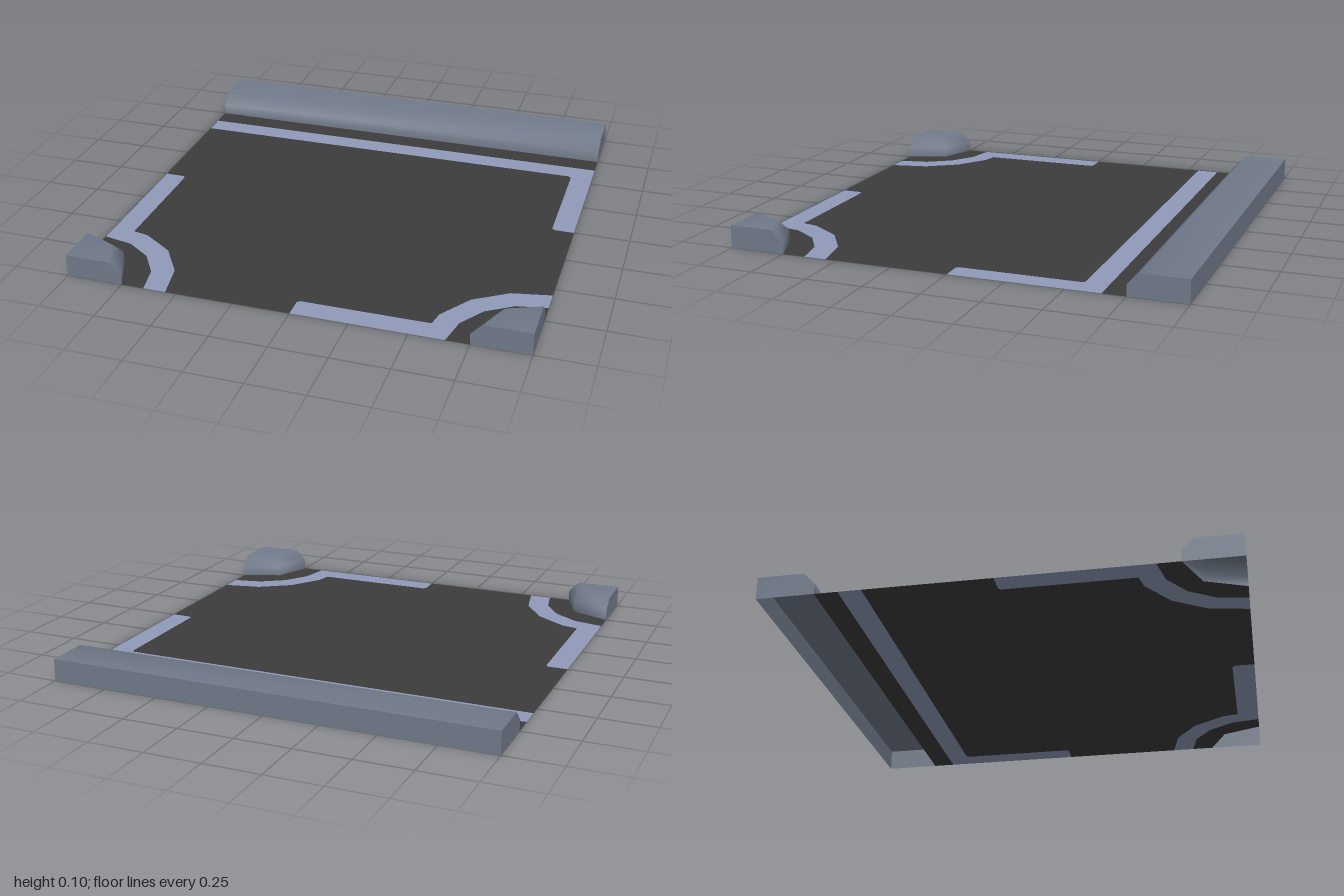
import * as THREE from 'three';

const material = (name, color) => {
  const m = new THREE.MeshStandardMaterial({ color, side: THREE.DoubleSide });
  m.name = name;
  return m;
};

export function createModel() {
  const asphalt = material('asphalt', 0x3c3c3c);
  const paint = material('lane paint', 0x909ab8);
  const concrete = material('kerb concrete', 0x717a8a);

  const model = new THREE.Group();
  model.name = 'roadTile';

  const add = (name, geometry, mat, x = 0, y = 0, z = 0) => {
    const mesh = new THREE.Mesh(geometry, mat);
    mesh.name = name;
    mesh.position.set(x, y, z);
    model.add(mesh);
    return mesh;
  };

  // Flat ground polygon from [x, z] points
  const ground = (name, points, mat) => {
    const shape = new THREE.Shape(points.map(([x, z]) => new THREE.Vector2(x, -z)));
    return add(name, new THREE.ShapeGeometry(shape).rotateX(-Math.PI / 2), mat);
  };

  // Quarter arc round a front corner, from the side edge to the front edge
  const arc = (side, r, n) => Array.from({ length: n + 1 }, (_, i) => {
    const a = (i / n) * Math.PI / 2;
    return [side * (1 - r * Math.sin(a)), 1 - r * Math.cos(a)];
  });
  const band = (outer, inner) => [...outer, ...inner.slice().reverse()];

  // Where the straight lines meet the curved ones, and the corner softening
  const join = 0.57, c = 0.012;
  const leftOuter = arc(-1, 0.45, 4);
  const rightOuter = arc(1, 0.45, 4);

  // Asphalt
  ground('roadMiddle', [
    [-1, -0.55], [0.9 - c, -0.55], [0.9, -0.55 + c], [0.9, -c], [0.9 + c, 0], [1, 0],
    ...rightOuter.slice(0, 4), [join, 0.9], [c, 0.9], [0, 0.9 + c], [0, 1],
    ...leftOuter.slice(1).reverse(), [-0.9, join], [-0.9, c], [-0.9 - c, 0], [-1, 0],
  ], asphalt);
  ground('roadBackGutter', [[-1, -0.75], [1, -0.75], [1, -0.65], [-1, -0.65]], asphalt);

  // Painted lines
  ground('backLine', [
    [-1, -0.65], [1, -0.65], [1, 0], [0.9 + c, 0], [0.9, -c],
    [0.9, -0.55 + c], [0.9 - c, -0.55], [-1, -0.55],
  ], paint);
  ground('rightSideLine', [
    [-1, 0], [-0.9 - c, 0], [-0.9, c], [-0.9, join], [-1, 0.55],
  ], paint);
  ground('frontLine', [
    [0, 1], [0, 0.9 + c], [c, 0.9], [join, 0.9], [0.55, 1],
  ], paint);
  // The front line overlaps nothing: its slanted end follows the curved line
  ground('rightCornerLine', band(leftOuter, arc(-1, 0.35, 4)), paint);
  ground('leftCornerLine', band(rightOuter, arc(1, 0.35, 4)), paint);

  // Kerb profile: distance from the tile edge, height
  const profile = [[0, 0.1], [0.2, 0.1], [0.25, 0.05], [0.25, 0]];
  const capGeometry = new THREE.ShapeGeometry(new THREE.Shape(
    [[0, 0], ...profile.slice().reverse()].map(([d, y]) => new THREE.Vector2(d, y))));
  const cap = (name, x, z, turn) => {
    add(name, capGeometry, concrete, x, 0, z).rotation.y = turn;
  };

  // Back kerb: profile swept along x, open underneath
  const sweep = new THREE.PlaneGeometry(2, 1, 1, 3);
  profile.forEach(([d, y], row) => {
    for (let k = 0; k < 2; k++) {
      sweep.attributes.position.setXYZ(row * 2 + k, k * 2 - 1, y, d - 1);
    }
  });
  sweep.computeVertexNormals();
  add('backKerb', sweep, concrete);
  add('backKerbWall', new THREE.PlaneGeometry(2, 0.1), concrete, 0, 0.05, -1).rotation.y = Math.PI;
  for (const side of [-1, 1]) cap('backKerbEnd', side, -1, -Math.PI / 2);

  // Corner kerbs: two-sided quarter turns with flat outer walls
  const lathePoints = profile.slice().reverse().map(([d, y]) => new THREE.Vector2(d, y));
  for (const side of [-1, 1]) {
    const start = side < 0 ? Math.PI / 2 : Math.PI;
    add('cornerKerb', new THREE.LatheGeometry(lathePoints, 2, start, Math.PI / 2), concrete, side, 0, 1);
    cap('cornerKerbFrontWall', side, 1, side < 0 ? 0 : Math.PI);
    cap('cornerKerbSideWall', side, 1, Math.PI / 2);
    ground('roadCornerGutter', band(arc(side, 0.35, 4), arc(side, 0.25, 2)), asphalt);
  }

  return model;
}
